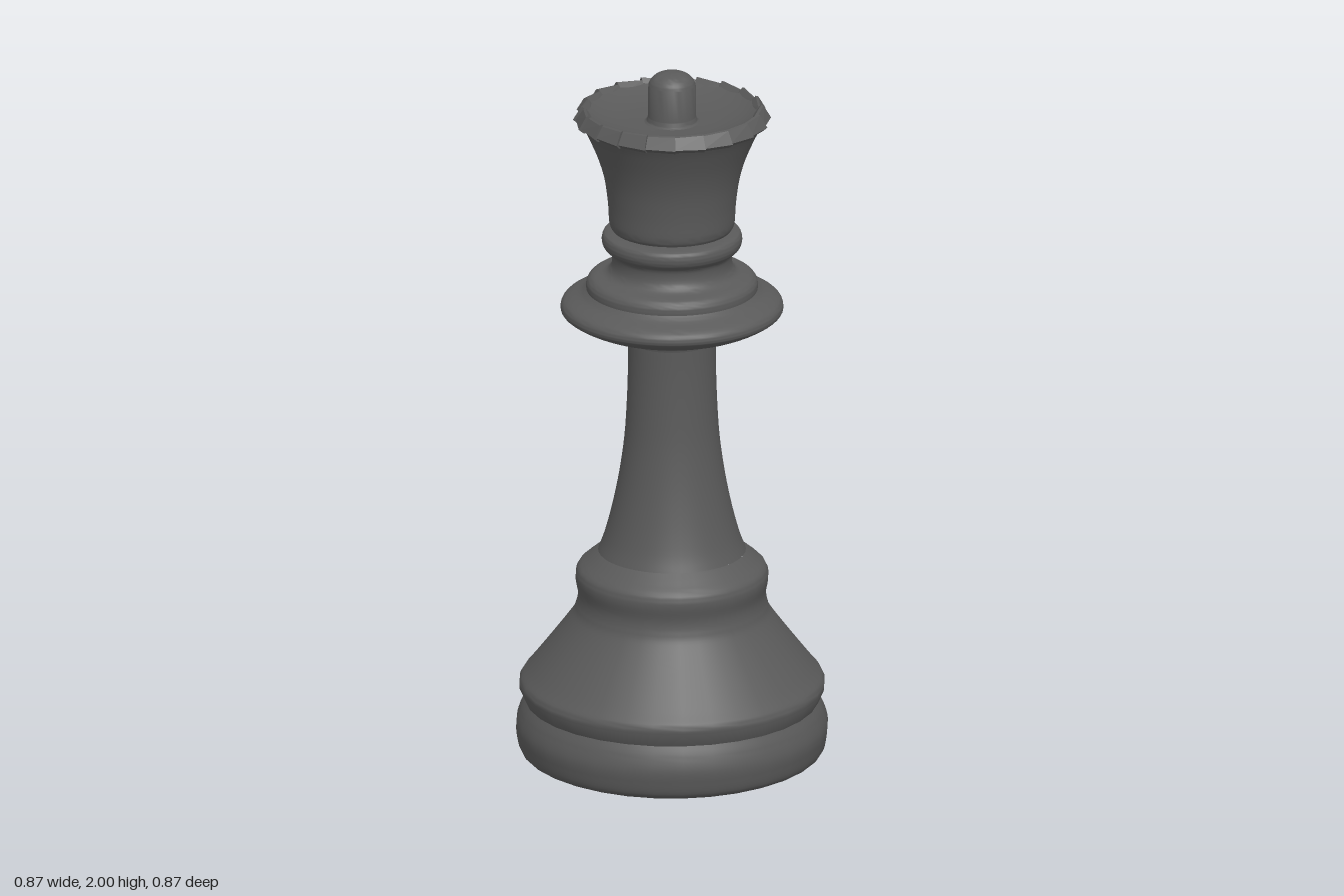
import * as THREE from 'three';
import { toCreasedNormals, mergeVertices } from 'three/addons/utils/BufferGeometryUtils.js';

const ebony = new THREE.MeshStandardMaterial({ color: 0x5a5a5a });
ebony.name = 'dark grey';

// Turned part: each run of [radius, y] is smoothed by a spline, with a crease between runs.
function turned(name, runs, sides) {
  const points = [];
  for (const run of runs) {
    const v = run.map(([r, y]) => new THREE.Vector2(r, y));
    const smooth = v.length > 2 ? new THREE.SplineCurve(v).getPoints((v.length - 1) * 4) : v;
    for (const p of smooth) {
      p.x = Math.max(p.x, 0);
      if (!points.length || points[points.length - 1].distanceTo(p) > 1e-4) points.push(p);
    }
  }
  const geometry = toCreasedNormals(new THREE.LatheGeometry(points, sides), 0.65);
  const mesh = new THREE.Mesh(mergeVertices(geometry), ebony);
  mesh.name = name;
  return mesh;
}

// One slightly skewed, bevelled crown tooth between two angles.
function toothGeometry(a0, a1) {
  const profile = [[0.235, 1.85], [0.256, 1.85], [0.27, 1.862], [0.249, 1.894], [0.242, 1.896], [0.222, 1.872]];
  const section = (a, shift) => profile.map(([r, y], i) => {
    const grow = i === 0 || i === 5 ? 0 : shift;
    return [(r + grow) * Math.sin(a), y + (i === 3 || i === 4 ? shift * 0.6 : 0), -(r + grow) * Math.cos(a)];
  });
  const s = section(a0, 0.005), e = section(a1, -0.003), n = profile.length;
  const pos = [];
  const tri = (...corners) => corners.forEach((c) => pos.push(...c));
  for (let i = 0; i < n; i++) {
    const j = (i + 1) % n;
    tri(s[i], s[j], e[i]);
    tri(s[j], e[j], e[i]);
  }
  for (let i = 1; i < n - 1; i++) {
    tri(s[0], s[i + 1], s[i]);
    tri(e[0], e[i], e[i + 1]);
  }
  const geometry = new THREE.BufferGeometry();
  geometry.setAttribute('position', new THREE.Float32BufferAttribute(pos, 3));
  geometry.computeVertexNormals();
  return geometry;
}

export function createModel() {
  const model = new THREE.Group();
  model.name = 'chessQueen';

  // Wide foot with a groove, sloping up to the shoulder ring
  model.add(turned('base', [
    [[0, 0], [0.395, 0]],
    [[0.395, 0], [0.42, 0.015], [0.43, 0.05], [0.433, 0.09], [0.422, 0.13], [0.408, 0.158]],
    [[0.408, 0.158], [0.424, 0.195]],
    [[0.424, 0.195], [0.422, 0.218], [0.395, 0.252], [0.335, 0.33], [0.285, 0.398], [0.268, 0.43],
      [0.261, 0.47], [0.268, 0.515], [0.262, 0.545], [0.235, 0.57], [0.205, 0.595]],
  ], 32));

  // Tapering stem
  model.add(turned('stem', [
    [[0.205, 0.595], [0.188, 0.64], [0.167, 0.72], [0.147, 0.82], [0.132, 0.93], [0.125, 1.04],
      [0.122, 1.14], [0.122, 1.215]],
  ], 48));

  // Broad collar with stepped rings above
  model.add(turned('collar', [
    [[0.122, 1.215], [0.13, 1.23], [0.175, 1.243], [0.25, 1.268], [0.3, 1.295], [0.309, 1.312],
      [0.298, 1.332], [0.255, 1.352], [0.238, 1.365]],
    [[0.238, 1.365], [0.237, 1.385], [0.222, 1.402], [0.185, 1.412], [0.168, 1.435], [0.168, 1.47],
      [0.188, 1.488], [0.195, 1.508], [0.19, 1.528], [0.175, 1.534]],
    [[0.175, 1.534], [0.13, 1.534]],
  ], 64));

  // Flared crown with a shallow bowl on top
  model.add(turned('crown', [
    [[0.13, 1.53], [0.13, 1.542]],
    [[0.13, 1.542], [0.166, 1.542]],
    [[0.166, 1.542], [0.174, 1.56], [0.178, 1.62], [0.188, 1.69], [0.207, 1.755], [0.235, 1.82], [0.252, 1.852]],
    [[0.252, 1.852], [0.238, 1.888]],
    [[0.238, 1.888], [0.2, 1.872], [0.14, 1.859], [0.06, 1.854]],
  ], 60));

  // Domed knob with a small fillet at its foot
  model.add(turned('knob', [
    [[0.078, 1.854], [0.07, 1.86], [0.067, 1.872]],
    [[0.067, 1.872], [0.066, 1.962]],
    [[0.066, 1.962], [0.058, 1.978], [0.038, 1.993], [0, 2]],
  ], 32));

  // Ring of teeth around the rim
  const teeth = new THREE.Group();
  teeth.name = 'crownTeeth';
  const count = 20, step = (Math.PI * 2) / count;
  for (let i = 0; i < count; i++) {
    const tooth = new THREE.Mesh(toothGeometry(i * step, (i + 1) * step), ebony);
    tooth.name = 'tooth';
    teeth.add(tooth);
  }
  model.add(teeth);
  return model;
}
